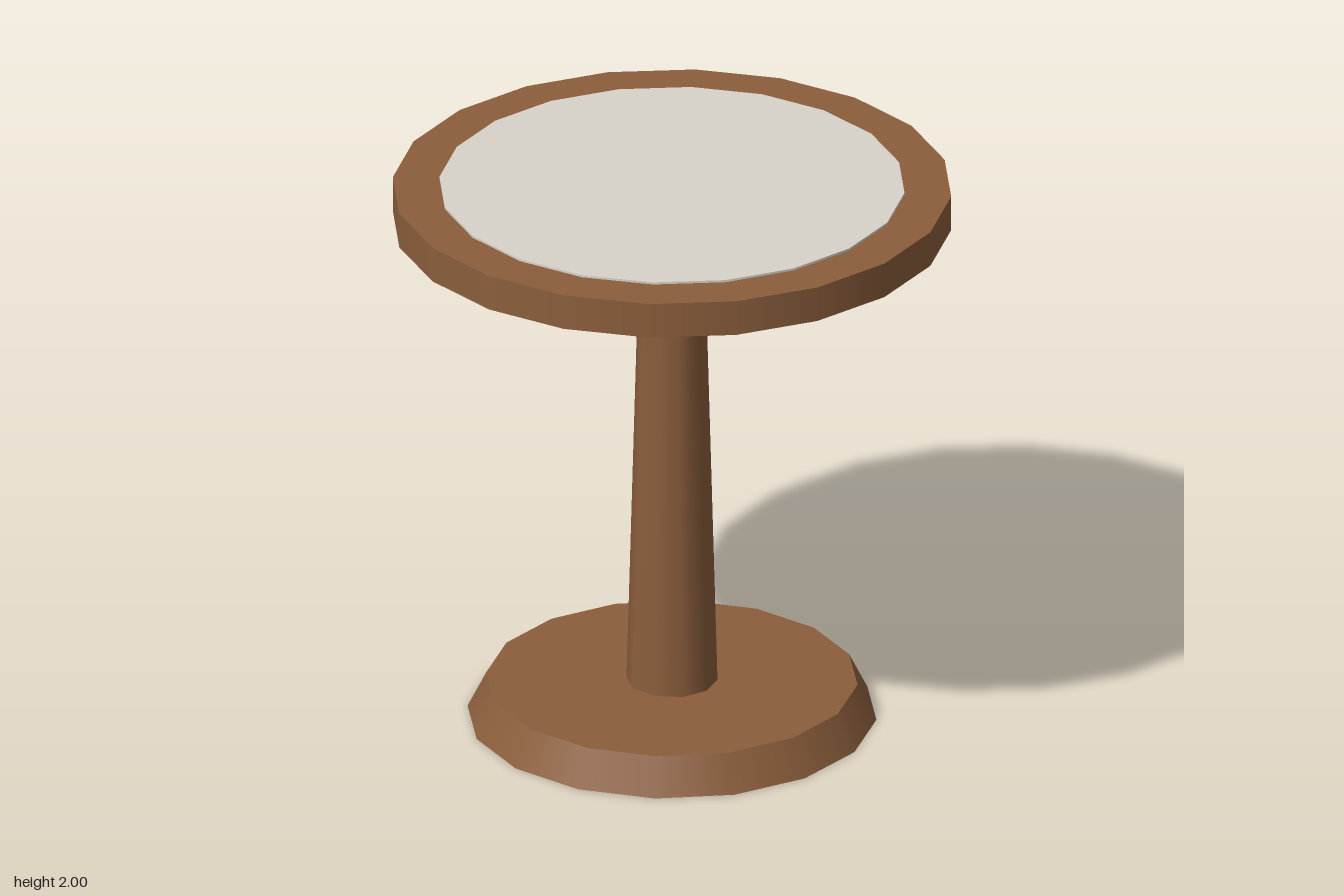
import * as THREE from 'three';

export function createModel() {
  const group = new THREE.Group();
  const wood = new THREE.MeshStandardMaterial({ name: 'brown wood', color: 0x8b5e3c });
  const stone = new THREE.MeshStandardMaterial({ name: 'pale inlay', color: 0xd9d3c9 });

  // Round part spanning y0..y1, with a corner on the x axis
  function disc(name, material, rTop, rBottom, y0, y1, sides) {
    const geometry = new THREE.CylinderGeometry(rTop, rBottom, y1 - y0, sides);
    geometry.rotateY(Math.PI / 2);
    geometry.translate(0, (y0 + y1) / 2, 0);
    const mesh = new THREE.Mesh(geometry, material);
    mesh.name = name;
    group.add(mesh);
  }

  disc('base', wood, 0.64, 0.705, 0, 0.13, 16);
  disc('column', wood, 0.11, 0.157, 0.13, 1.865, 10);
  disc('tableTop', wood, 0.963, 0.963, 1.865, 1.992, 20);
  disc('topInlay', stone, 0.802, 0.802, 1.992, 2, 20);

  return group;
}
